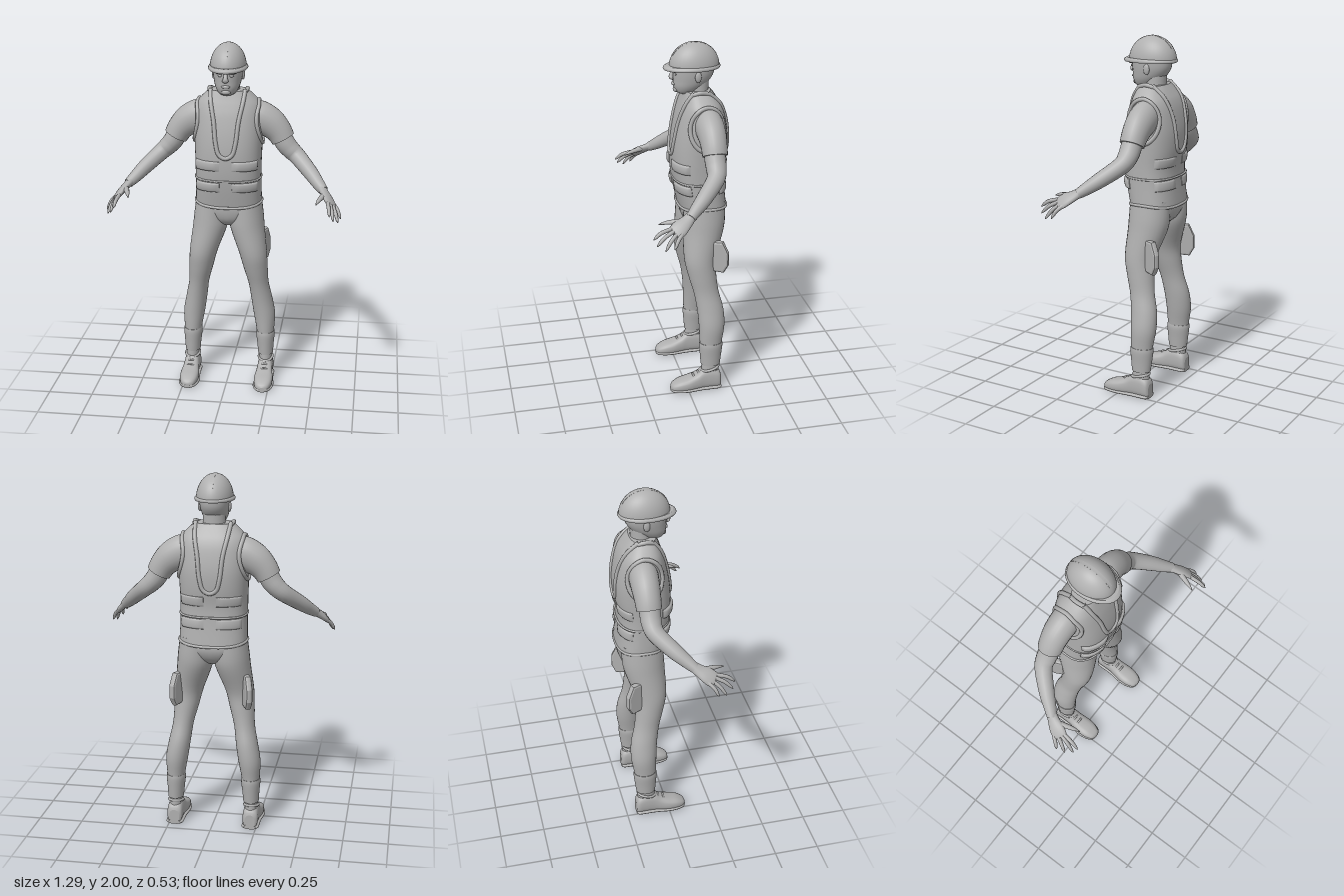
import * as THREE from 'three';

const V = (x, y, z) => new THREE.Vector3(x, y, z);
const grey = new THREE.MeshStandardMaterial({ color: 0xb0b0b0 });
grey.name = 'plain grey';

// Unit superellipse outline
const oval = (n, p = 2) => Array.from({ length: n }, (_, i) => {
  const a = i / n * Math.PI * 2, f = v => Math.sign(v) * Math.abs(v) ** (2 / p);
  return [f(Math.cos(a)), f(Math.sin(a))];
});

// Smoothly subdivide a list of stations
function refine(rows, k = 4) {
  const out = [], at = i => rows[Math.min(rows.length - 1, Math.max(0, i))];
  for (let i = 0; i < rows.length - 1; i++) for (let j = 0; j < k; j++) {
    const t = j / k, [a, b, c, d] = [at(i - 1), at(i), at(i + 1), at(i + 2)];
    out.push(b.map((v, m) => {
      const c1 = c[m] - a[m], c2 = 2 * a[m] - 5 * v + 4 * c[m] - d[m], c3 = 3 * (v - c[m]) + d[m] - a[m];
      return v + 0.5 * t * (c1 + t * (c2 + t * c3));
    }));
  }
  out.push(rows[rows.length - 1]);
  return out;
}

// Closed skin through rings of points, with flat caps, always facing outwards
function loft(rings) {
  const n = rings[0].length, pos = [], idx = [];
  rings.forEach(r => r.forEach(p => pos.push(p)));
  for (let i = 0; i < rings.length - 1; i++) for (let j = 0; j < n; j++) {
    const a = i * n + j, b = i * n + (j + 1) % n;
    idx.push(a, b, a + n, b, b + n, a + n);
  }
  [rings[0], rings[rings.length - 1]].forEach((r, e) => {
    const s = pos.length;
    r.forEach(p => pos.push(p));
    pos.push(r.reduce((c, p) => c.add(p), V(0, 0, 0)).divideScalar(n));
    for (let j = 0; j < n; j++) {
      const a = s + j, b = s + (j + 1) % n;
      if (e) idx.push(a, b, s + n);
      else idx.push(b, a, s + n);
    }
  });
  let vol = 0;
  for (let i = 0; i < idx.length; i += 3) {
    const [a, b, c] = [pos[idx[i]], pos[idx[i + 1]], pos[idx[i + 2]]];
    vol += a.dot(b.clone().cross(c));
  }
  if (vol < 0) idx.reverse();
  const g = new THREE.BufferGeometry().setFromPoints(pos);
  g.setIndex(idx);
  g.computeVertexNormals();
  return g;
}

// Horizontal stations: [y, centre x, half width, front z, back z]
const ringAt = ([y, cx, w, zf, zb], p, n) =>
  oval(n, p).map(([u, v]) => V(cx + u * w, y, (zf + zb) / 2 + v * (zf - zb) / 2));
const stack = (rows, p = 2, n = 28) => loft(refine(rows).map(r => ringAt(r, p, n)));

// Stations along a path: [x, y, z, half width along side, half thickness]
function limb(rows, side, n = 16) {
  const r = refine(rows), c = r.map(q => V(q[0], q[1], q[2]));
  return loft(r.map((q, i) => {
    const t = c[Math.min(i + 1, c.length - 1)].clone().sub(c[Math.max(i - 1, 0)]).normalize();
    const w = side.clone().addScaledVector(t, -side.dot(t)).normalize(), h = t.clone().cross(w);
    return oval(n).map(([u, v]) => c[i].clone().addScaledVector(w, u * q[3]).addScaledVector(h, v * q[4]));
  }));
}

const tube = (pts, r, closed = false) =>
  new THREE.TubeGeometry(new THREE.CatmullRomCurve3(pts, closed), 64, r, 8, closed);
const ball = (x, y, z, a, b, c) => new THREE.SphereGeometry(1, 16, 12).scale(a, b, c).translate(x, y, z);

function mirrored(geo) {
  const g = geo.clone().scale(-1, 1, 1);
  const idx = g.index ? Array.from(g.index.array) : Array.from({ length: g.attributes.position.count }, (_, i) => i);
  g.setIndex(idx.reverse());
  return g;
}

// Vest surface stations and lookups
const P = 2.5;
const vestRows = refine([
  [1.09, 0, .187, .012, -.253], [1.2, 0, .184, .035, -.243], [1.3, 0, .184, .048, -.24], [1.4, 0, .187, .05, -.254],
  [1.5, 0, .19, .04, -.256], [1.6, 0, .188, .02, -.24], [1.66, 0, .178, .002, -.22], [1.7, 0, .148, -.012, -.195],
  [1.74, 0, .105, -.025, -.165]]);
function vestAt(height) {
  const y = Math.min(height, 1.74);
  const i = Math.max(1, vestRows.findIndex(r => r[0] >= y)), a = vestRows[i - 1], b = vestRows[i];
  const t = THREE.MathUtils.clamp((y - a[0]) / (b[0] - a[0]), 0, 1);
  return a.map((v, k) => v + (b[k] - v) * t);
}
const rest = v => Math.max(0, 1 - Math.abs(v) ** P) ** (1 / P);
const onVest = (x, y, face) => {
  const [, , w, zf, zb] = vestAt(y);
  return V(x, y, (zf + zb) / 2 + face * (zf - zb) / 2 * rest(x / w));
};
const onSide = (y, z) => {
  const [, , w, zf, zb] = vestAt(y);
  return V(w * rest((z - (zf + zb) / 2) / ((zf - zb) / 2)), y, z);
};

// Padded bar wrapped round the vest between two angles
function bar(y0, y1, a0, a1, off) {
  const f = q => Math.sign(q) * Math.abs(q) ** (2 / P);
  return loft(Array.from({ length: 15 }, (_, i) => {
    const a = THREE.MathUtils.degToRad(a0 + (a1 - a0) * i / 14);
    const puff = off * Math.min(1, .25 + Math.min(i, 14 - i) * .4);
    return oval(12, 3).map(([u, v]) => {
      const y = (y0 + y1) / 2 + v * (y1 - y0) / 2, [, , w, zf, zb] = vestAt(y), e = u * puff;
      return V((w + e) * f(Math.cos(a)), y, (zf + zb) / 2 + ((zf - zb) / 2 + e) * f(Math.sin(a)));
    });
  }));
}

export function createModel() {
  const root = new THREE.Group();
  root.name = 'worker';
  const add = (name, geo) => {
    const m = new THREE.Mesh(geo, grey);
    m.name = name;
    root.add(m);
  };
  const pair = (name, geo) => { add(name + 'Left', geo); add(name + 'Right', mirrored(geo)); };

  // Head and neck
  add('neck', stack([[1.62, 0, .075, -.04, -.18], [1.7, 0, .063, -.045, -.158], [1.8, 0, .06, -.04, -.16]]));
  add('head', stack([[1.722, 0, .028, .004, -.06], [1.735, 0, .048, .022, -.09], [1.765, 0, .066, .034, -.135],
    [1.8, 0, .076, .036, -.17], [1.84, 0, .082, .038, -.188], [1.9, 0, .084, .038, -.19]], 2.1));
  add('nose', limb([[0, 1.85, .033, .009, .006], [0, 1.825, .044, .012, .012], [0, 1.81, .046, .018, .011],
    [0, 1.8, .036, .008, .004]], V(1, 0, 0)));
  add('mouth', ball(0, 1.776, .035, .025, .008, .009));
  add('chin', ball(0, 1.745, .022, .025, .016, .014));
  pair('brow', ball(.03, 1.853, .034, .027, .008, .01));
  pair('eye', ball(.031, 1.836, .03, .013, .007, .006));
  pair('ear', ball(.081, 1.825, -.085, .01, .03, .018));

  // Hard hat
  const dome = new THREE.SphereGeometry(1, 36, 14, 0, Math.PI * 2, 0, Math.PI / 2);
  add('helmetShell', dome.scale(.1, .134, .137).translate(0, 1.866, -.08));
  const brimRing = ([y, r]) => oval(40).map(([u, v]) => {
    const reach = v > 0 ? 1.56 : 1.31;
    return V(u * r, y - .004 * Math.max(0, v), -.08 + v * r * reach);
  });
  add('helmetBrim', loft([[1.86, .106], [1.866, .109], [1.874, .107], [1.882, .098]].map(brimRing)));
  const ridge = new THREE.Shape(Array.from({ length: 21 }, (_, i) => {
    const a = (.17 + .66 * i / 20) * Math.PI;
    return new THREE.Vector2(Math.cos(a) * .139, Math.sin(a) * .137);
  }));
  add('helmetRidge', new THREE.ExtrudeGeometry(ridge, { depth: .018, bevelEnabled: false })
    .translate(0, 0, -.009).rotateY(-Math.PI / 2).translate(0, 1.863, -.08));

  // Vest with neck, armhole and hem trim
  add('vest', loft(vestRows.map(r => ringAt(r, P, 44))));
  for (const [name, face] of [['frontNeckTrim', 1], ['backNeckTrim', -1]]) {
    const half = [[.096, 1.745], [.088, 1.68], [.068, 1.58], [.054, 1.46], [.035, 1.398]];
    const pts = [...half, [0, 1.38], ...half.map(([x, y]) => [-x, y]).reverse()];
    add(name, tube(pts.map(([x, y]) => onVest(x, y, face)), .012));
  }
  pair('collar', tube([onVest(.098, 1.735, 1), V(.105, 1.745, -.095), onVest(.098, 1.735, -1)], .012));
  pair('armholeTrim', tube(oval(20).map(([u, v]) => onSide(1.56 + v * .12, -.115 + u * .092)), .012, true));
  add('hem', tube(oval(32, P).map(([u, v]) => V(u * .187, 1.1 - .018 * v * v, -.12 + v * .132)), .008, true));
  add('waistSeam', tube(oval(32, P).map(([u, v]) => V(u * .184, 1.245, -.102 + v * .144)), .006, true));
  for (const [row, y0, y1] of [['upper', 1.305, 1.36], ['lower', 1.18, 1.235]]) {
    pair(row + 'FrontPocket', bar(y0, y1, 25, 83, .014));
    pair(row + 'BackPocket', bar(y0, y1, -83, -30, .01));
  }

  // Sleeves and arms
  const zAxis = V(0, 0, 1);
  pair('sleeve', limb([[.12, 1.585, -.122, .075, .09], [.17, 1.578, -.124, .078, .094], [.23, 1.548, -.126, .075, .086],
    [.275, 1.505, -.126, .07, .074], [.302, 1.46, -.125, .067, .067]], zAxis, 24));
  pair('arm', limb([[.28, 1.5, -.125, .055, .055], [.312, 1.44, -.123, .056, .056], [.345, 1.4, -.122, .054, .052],
    [.388, 1.362, -.108, .048, .047], [.465, 1.295, -.03, .042, .041], [.51, 1.252, .025, .034, .034],
    [.542, 1.224, .062, .027, .027]], zAxis, 20));

  // Hands
  const across = V(.45, -.33, -.82).normalize(), knuckle = V(.588, 1.172, .148);
  pair('palm', limb([[.53, 1.235, .05, .027, .024], [.55, 1.215, .08, .034, .02], [.572, 1.193, .118, .044, .018],
    [.588, 1.172, .148, .043, .014], [.592, 1.167, .157, .03, .007]], across));
  const tips = [['index', .585, 1.14, .264], ['middle', .606, 1.11, .25], ['ring', .63, 1.09, .21],
    ['little', .642, 1.1, .165]];
  tips.forEach(([name, x, y, z], i) => {
    const a = knuckle.clone().addScaledVector(across, -.034 + i * .0225), b = V(x, y, z);
    const rows = [[-.1, .011], [.5, .0105], [.85, .008], [1, .002]].map(([t, r]) => {
      const p = a.clone().lerp(b, t);
      return [p.x, p.y + .012 * Math.sin(Math.max(0, t) * Math.PI), p.z, r, r];
    });
    pair(name + 'Finger', limb(rows, across, 10));
  });
  pair('thumb', limb([[.556, 1.212, .085, .017, .016], [.54, 1.21, .13, .016, .014], [.522, 1.202, .185, .011, .01],
    [.51, 1.19, .224, .002, .002]], V(1, 0, 0), 10));

  // Trousers
  add('pelvis', stack([[1.14, 0, .17, 0, -.23], [1.06, 0, .185, 0, -.24], [1.0, 0, .12, -.015, -.215],
    [.965, 0, .05, -.05, -.17]], 2.3));
  pair('trouserLeg', stack([[1.12, .095, .09, -.005, -.235], [1.02, .1, .098, 0, -.235], [.94, .108, .098, .003, -.222],
    [.8, .142, .08, .004, -.176], [.7, .158, .069, -.016, -.175], [.6, .174, .058, -.043, -.186],
    [.5, .191, .061, -.06, -.21], [.4, .207, .062, -.068, -.215], [.3, .214, .051, -.072, -.2], [.2, .216, .042, -.078, -.19]]));
  pair('trouserCuff', stack([[.295, .215, .052, -.07, -.202], [.27, .215, .054, -.068, -.203], [.21, .216, .048, -.073, -.196],
    [.155, .217, .044, -.078, -.189]]));

  // Pouches behind the thighs
  const pouch = new THREE.Shape([[0, .9], [.078, .9], [.106, .84], [.106, .775], [.085, .737], [0, .745]]
    .map(([x, y]) => new THREE.Vector2(x, y)));
  pair('thighPouch', new THREE.ExtrudeGeometry(pouch,
    { depth: .012, bevelThickness: .013, bevelSize: .012, bevelSegments: 2 })
    .translate(0, 0, -.006).rotateY(1.15).translate(.17, 0, -.125));

  // Shoes: [z, half width, height]
  const shoeRows = [[.1, .012, .03], [.088, .034, .046], [.05, .05, .066], [0, .054, .08], [-.05, .048, .1],
    [-.09, .044, .128], [-.14, .044, .132], [-.18, .042, .112], [-.193, .028, .085]];
  const shoe = rows => loft(refine(rows).map(([z, w, h]) =>
    oval(24, 2.7).map(([u, v]) => V(.218 + u * w, h / 2 + v * h / 2, z))));
  pair('shoe', shoe(shoeRows));
  pair('sole', shoe(shoeRows.map(([z, w]) => [z, w + .006, .022])));
  pair('ankle', stack([[.2, .217, .036, -.085, -.18], [.1, .218, .037, -.08, -.182]]));
  pair('shoeCollar', tube(oval(16).map(([u, v]) => V(.218 + u * .039, .128 - v * .012, -.13 + v * .05)), .008, true));
  for (const [i, z, y] of [[1, -.03, .094], [2, -.06, .108]])
    pair('lace' + i, tube([V(.185, y - .018, z - .008), V(.218, y, z), V(.251, y - .018, z - .008)], .006));
  return root;
}
